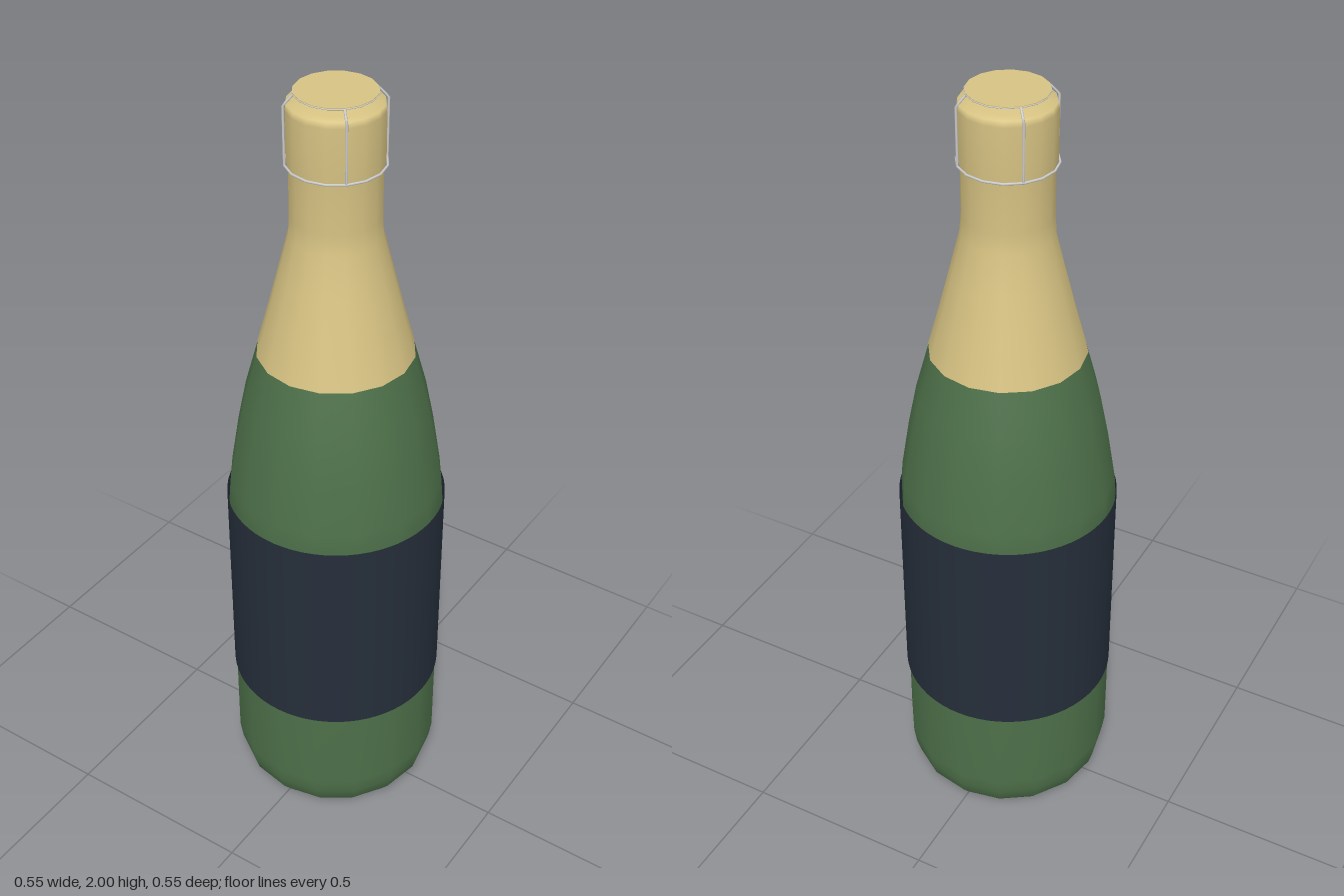
import * as THREE from 'three';

const SIDES = 16;
const mat = (color) => new THREE.MeshStandardMaterial({ color, side: THREE.DoubleSide });

export function createModel() {
  const group = new THREE.Group();
  const green = mat(0x4d7049), gold = mat(0xd6c282), navy = mat(0x252e3a), wire = mat(0xcccccc);

  const add = (name, geometry, material) => {
    const mesh = new THREE.Mesh(geometry, material);
    mesh.name = name;
    group.add(mesh);
    return mesh;
  };
  const lathe = (points) =>
    new THREE.LatheGeometry(points.map(([r, y]) => new THREE.Vector2(r, y)), SIDES);

  // Glass body, from the hollow in the base up to the foil
  add('bottleBody', lathe([
    [0, 0.1], [0.08, 0.09], [0.15, 0.06], [0.2, 0.01], [0.215, 0], [0.232, 0.005],
    [0.255, 0.035], [0.265, 0.07], [0.272, 0.115], [0.272, 0.35], [0.272, 0.92],
    [0.268, 0.97], [0.247, 1.1], [0.225, 1.21], [0.191, 1.335],
  ]), green);

  // Foil over the shoulder, neck and domed stopper
  add('neckFoil', lathe([
    [0.192, 1.335], [0.165, 1.435], [0.137, 1.545], [0.111, 1.65], [0.108, 1.7],
    [0.108, 1.82], [0.113, 1.84], [0.113, 1.96], [0.11, 1.974],
    [0.085, 1.976], [0.045, 1.987], [0, 1.992],
  ]), gold);

  // Label wrapped round the body
  const label = add('label',
    new THREE.CylinderGeometry(0.275, 0.275, 0.57, 64, 1, true), navy);
  label.position.y = 0.635;

  // Thin plate on top of the stopper
  const plate = add('capPlate', new THREE.CylinderGeometry(0.095, 0.095, 0.003, SIDES), gold);
  plate.position.y = 1.9985;

  // Wire cage: one ring low on the neck, one round the plate
  const ring = (name, radius, y, thickness) => {
    const geometry = new THREE.TorusGeometry(radius, thickness, 6, SIDES);
    geometry.rotateZ(Math.PI / 2).rotateX(Math.PI / 2);
    add(name, geometry, wire).position.y = y;
  };
  ring('lowerWireRing', 0.116, 1.83, 0.003);
  ring('upperWireRing', 0.095, 1.997, 0.0015);

  // Four wires rising between the rings
  for (let i = 0; i < 4; i++) {
    const path = new THREE.CurvePath();
    const points = [[0.116, 1.83], [0.117, 1.972], [0.095, 1.996]]
      .map(([r, y]) => new THREE.Vector3(r, y, 0));
    path.add(new THREE.LineCurve3(points[0], points[1]));
    path.add(new THREE.LineCurve3(points[1], points[2]));
    const leg = add('cageWire', new THREE.TubeGeometry(path, 16, 0.003, 6), wire);
    leg.rotation.y = Math.PI / 4 + i * Math.PI / 2;
  }

  return group;
}
